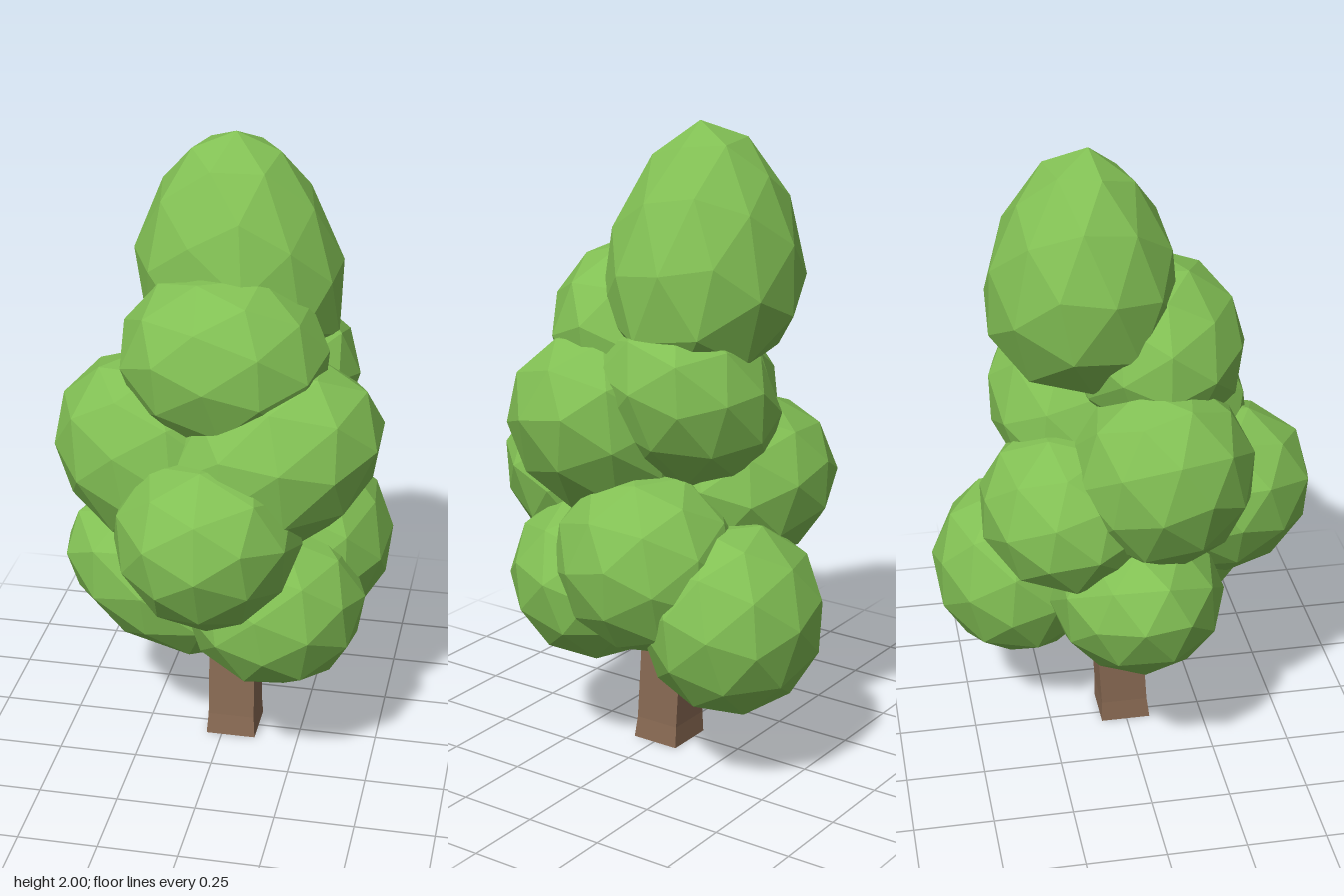
import * as THREE from 'three';

const leafGreen = new THREE.MeshStandardMaterial({ color: 0x82c054, flatShading: true });
leafGreen.name = 'leaf green';
const barkBrown = new THREE.MeshStandardMaterial({ color: 0x8a6b54, flatShading: true });
barkBrown.name = 'bark brown';

// Faceted foliage clump: turned, tapered upward, raised towards +x by lean, then fitted to a box
function clump(name, min, max, turn, taper = 0, lean = 0) {
  const geo = new THREE.IcosahedronGeometry(1, 1);
  geo.rotateX(turn).rotateY(turn * 1.7).rotateZ(turn * 0.6);
  const p = geo.attributes.position;
  for (let i = 0; i < p.count; i++) {
    const k = 1 - taper * p.getY(i);
    const x = p.getX(i) * k;
    p.setXYZ(i, x, p.getY(i) + lean * x, p.getZ(i) * k);
  }
  geo.computeBoundingBox();
  const centre = geo.boundingBox.getCenter(new THREE.Vector3());
  const size = geo.boundingBox.getSize(new THREE.Vector3());
  geo.translate(-centre.x, -centre.y, -centre.z);
  geo.scale(...[0, 1, 2].map((a) => (max[a] - min[a]) / size.getComponent(a)));
  geo.translate(...[0, 1, 2].map((a) => (max[a] + min[a]) / 2));
  geo.computeVertexNormals();
  const mesh = new THREE.Mesh(geo, leafGreen);
  mesh.name = name;
  return mesh;
}

// Square trunk, flared at the foot and leaning slightly back
function trunk() {
  const geo = new THREE.BoxGeometry(1, 0.75, 1, 1, 2, 1);
  geo.translate(0, 0.375, 0);
  const p = geo.attributes.position;
  for (let i = 0; i < p.count; i++) {
    const level = Math.round(p.getY(i) / 0.375);
    const y = [0, 0.07, 0.6][level];
    const width = [0.16, 0.15, 0.148][level];
    p.setXYZ(i, 0.03 + p.getX(i) * width, y, -0.003 - y * 0.06 + p.getZ(i) * width);
  }
  geo.computeVertexNormals();
  const mesh = new THREE.Mesh(geo, barkBrown);
  mesh.name = 'trunk';
  return mesh;
}

export function createModel() {
  const tree = new THREE.Group();
  tree.name = 'tree';
  tree.add(trunk());

  const foliage = new THREE.Group();
  foliage.name = 'foliage';
  // name, lowest corner, highest corner, turn, taper, lean
  const clumps = [
    ['crown', [-0.3, 1.22, -0.415], [0.335, 2.0, 0.17], 0.1, 0.25, -0.1],
    ['upperFrontClump', [-0.31, 1.09, -0.18], [0.335, 1.62, 0.375], 0.9],
    ['upperBackClump', [-0.18, 0.88, -0.405], [0.4, 1.45, 0.16], 1.4, 0, 0.3],
    ['middleRightClump', [-0.51, 0.72, -0.19], [0.1, 1.33, 0.35], 0.5, 0, -0.15],
    ['middleLeftClump', [-0.2, 0.74, -0.15], [0.5, 1.36, 0.41], 1.1, 0, 0.3],
    ['middleFrontClump', [-0.285, 0.57, 0.0], [0.29, 1.11, 0.6], 0.35, -0.12],
    ['middleBackClump', [-0.42, 0.63, -0.465], [0.2, 1.14, 0.08], 0.7],
    ['lowerRightClump', [-0.52, 0.31, -0.26], [0.18, 0.83, 0.28], 1.25, 0, -0.3],
    ['lowerLeftClump', [-0.1, 0.315, -0.12], [0.47, 0.84, 0.43], 0.6],
    ['lowerSideClump', [-0.02, 0.41, -0.37], [0.52, 0.97, 0.22], 1.0],
    ['lowerBackClump', [-0.13, 0.24, -0.6], [0.44, 0.82, -0.05], 0.8],
  ];
  for (const spec of clumps) foliage.add(clump(...spec));
  tree.add(foliage);
  return tree;
}
